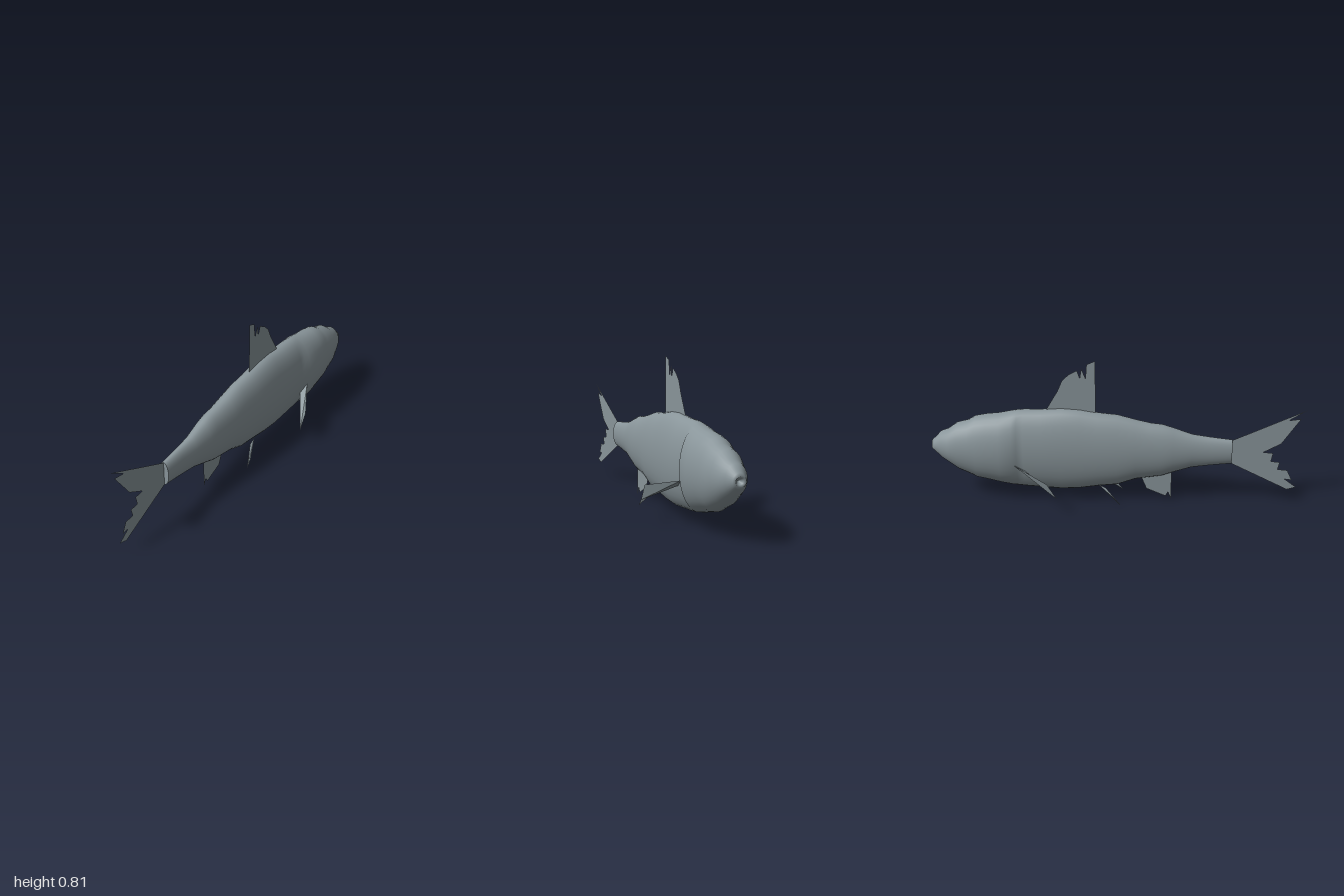
import * as THREE from 'three';

const scales = new THREE.MeshStandardMaterial({ color: 0x89959a });
scales.name = 'greyScales';
const finSkin = new THREE.MeshStandardMaterial({ color: 0x89959a, side: THREE.DoubleSide });
finSkin.name = 'greyFin';

// Body stations: x, top y, bottom y, half width
const stations = [
  [-0.615, 0.375, 0.235, 0.03], [-0.5, 0.388, 0.222, 0.037], [-0.4, 0.402, 0.208, 0.047],
  [-0.3, 0.437, 0.175, 0.063], [-0.24, 0.456, 0.153, 0.069], [-0.18, 0.462, 0.143, 0.072],
  [-0.1, 0.48, 0.13, 0.079], [0, 0.507, 0.092, 0.085], [0.1, 0.516, 0.081, 0.09],
  [0.2, 0.533, 0.065, 0.093], [0.3, 0.539, 0.058, 0.096], [0.4, 0.53, 0.065, 0.097],
  [0.5, 0.528, 0.071, 0.097], [0.535, 0.524, 0.075, 0.098], [0.56, 0.518, 0.079, 0.115],
  [0.63, 0.502, 0.093, 0.116], [0.7, 0.494, 0.11, 0.112], [0.76, 0.482, 0.122, 0.105],
  [0.8, 0.457, 0.142, 0.097], [0.86, 0.441, 0.17, 0.09], [0.91, 0.403, 0.208, 0.073],
  [0.95, 0.388, 0.236, 0.058], [0.985, 0.35, 0.272, 0.035], [1, 0.338, 0.285, 0.028],
  // mouth hollow
  [0.985, 0.328, 0.294, 0.018], [0.965, 0.311, 0.311, 0],
];

function loft(rows, sides) {
  const pos = [], index = [];
  rows.forEach(([x, top, bottom, w], i) => {
    for (let j = 0; j < sides; j++) {
      const a = (j / sides) * Math.PI * 2;
      pos.push(x, (top + bottom) / 2 + (Math.cos(a) * (top - bottom)) / 2, Math.sin(a) * w);
      if (i === rows.length - 1) continue;
      const p = i * sides + j, q = i * sides + ((j + 1) % sides);
      index.push(p, q, p + sides, q, q + sides, p + sides);
    }
  });
  const g = new THREE.BufferGeometry();
  g.setAttribute('position', new THREE.Float32BufferAttribute(pos, 3));
  g.setIndex(index);
  g.computeVertexNormals();
  return g;
}

// Flat fin outline in the plane z = 0
function flatFin(points) {
  return new THREE.ShapeGeometry(new THREE.Shape(points.map(([x, y]) => new THREE.Vector2(x, y))));
}

// Four-cornered paired fin, side = 1 or -1
function quadFin(corners, side) {
  const g = new THREE.BufferGeometry();
  const pos = corners.flatMap(([x, y, z]) => [x, y, z * side]);
  g.setAttribute('position', new THREE.Float32BufferAttribute(pos, 3));
  g.setIndex(side > 0 ? [0, 1, 2, 0, 2, 3] : [0, 2, 1, 0, 3, 2]);
  const flat = g.toNonIndexed();
  flat.computeVertexNormals();
  return flat;
}

export function createModel() {
  const fish = new THREE.Group();
  fish.name = 'fish';
  const add = (name, geometry, material = finSkin) => {
    const mesh = new THREE.Mesh(geometry, material);
    mesh.name = name;
    fish.add(mesh);
    return mesh;
  };

  add('body', loft(stations, 32), scales);

  // Closed end of the tail stalk
  const stalk = add('tailStalkEnd', new THREE.CircleGeometry(1, 32), scales);
  stalk.scale.set(0.03, 0.07, 1);
  stalk.rotation.y = -Math.PI / 2;
  stalk.position.set(-0.615, 0.305, 0);

  // Ragged fins along the midline
  add('tailFin', flatFin([
    [-0.61, 0.37], [-1, 0.56], [-0.905, 0.497], [-0.97, 0.508], [-0.874, 0.358], [-0.783, 0.305],
    [-0.835, 0.3], [-0.826, 0.251], [-0.874, 0.246], [-0.864, 0.203], [-0.917, 0.198],
    [-0.944, 0.139], [-0.906, 0.144], [-0.97, 0.096], [-0.922, 0.08], [-0.61, 0.235],
  ]));
  add('dorsalFin', flatFin([
    [0.115, 0.49], [0.115, 0.815], [0.16, 0.795], [0.166, 0.715], [0.188, 0.772], [0.196, 0.715],
    [0.211, 0.76], [0.255, 0.735], [0.29, 0.7], [0.315, 0.64], [0.38, 0.525],
  ]));
  add('analFin', flatFin([
    [-0.295, 0.19], [-0.295, 0.005], [-0.278, 0.045], [-0.264, 0.02], [-0.16, 0.065], [-0.125, 0.15],
  ]));

  // Paired fins
  for (const [label, side] of [['right', -1], ['left', 1]]) {
    add(label + 'PectoralFin', quadFin([
      [0.55, 0.243, 0.1], [0.36, 0.195, 0.215], [0.31, 0.108, 0.215], [0.49, 0.205, 0.09],
    ], side));
    add(label + 'PelvicFin', quadFin([
      [0.1, 0.11, 0.05], [0, 0.04, 0.095], [-0.03, 0, 0.095], [0.06, 0.09, 0.05],
    ], side));
  }
  return fish;
}
